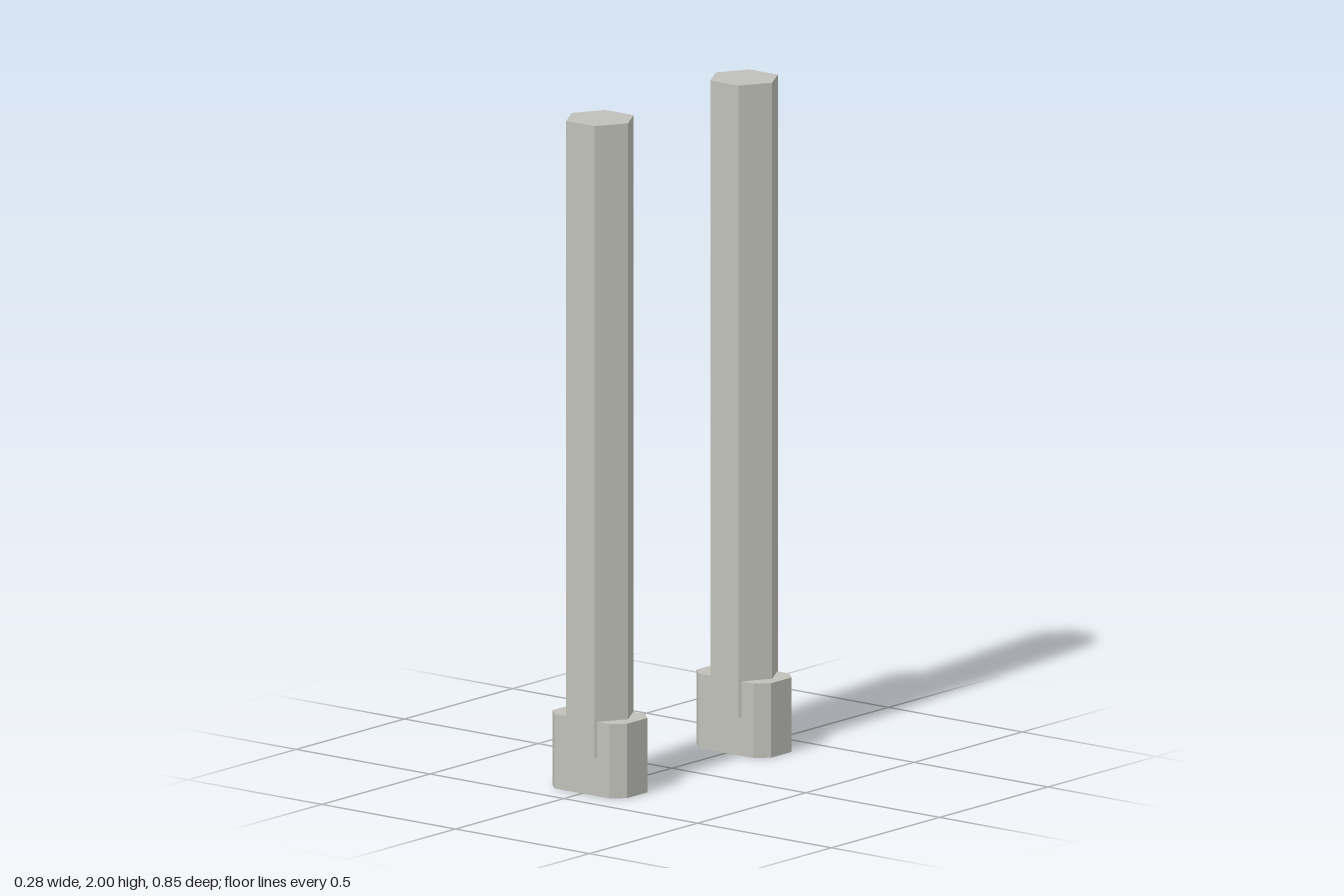
import * as THREE from 'three';

export function createModel() {
  const model = new THREE.Group();
  const stone = new THREE.MeshStandardMaterial({ color: 0xc0c0ba, flatShading: true });
  stone.name = 'paleStone';

  // Octagonal foot: a rectangle with cut corners
  const hx = 0.139, hz = 0.083, c = 0.036, footHeight = 0.222;
  const outline = new THREE.Shape([
    [hx, -hz + c], [hx, hz - c], [hx - c, hz], [-hx + c, hz],
    [-hx, hz - c], [-hx, -hz + c], [-hx + c, -hz], [hx - c, -hz],
  ].map(([x, y]) => new THREE.Vector2(x, y)));
  const footGeometry = new THREE.ExtrudeGeometry(outline, { depth: footHeight, bevelEnabled: false });
  footGeometry.rotateX(-Math.PI / 2);

  // Six-sided shaft, flat side to the front, sunk into the foot
  const bottom = 0.115, top = 2;
  const shaftGeometry = new THREE.CylinderGeometry(0.105, 0.105, top - bottom, 6);
  shaftGeometry.rotateY(Math.PI / 2);
  shaftGeometry.translate(0, (top + bottom) / 2, 0);

  for (const [side, name] of [[1, 'frontPost'], [-1, 'backPost']]) {
    const post = new THREE.Group();
    post.name = name;
    const foot = new THREE.Mesh(footGeometry, stone);
    foot.name = 'foot';
    const shaft = new THREE.Mesh(shaftGeometry, stone);
    shaft.name = 'shaft';
    post.add(foot, shaft);
    post.position.z = side * 0.333;
    model.add(post);
  }
  return model;
}
